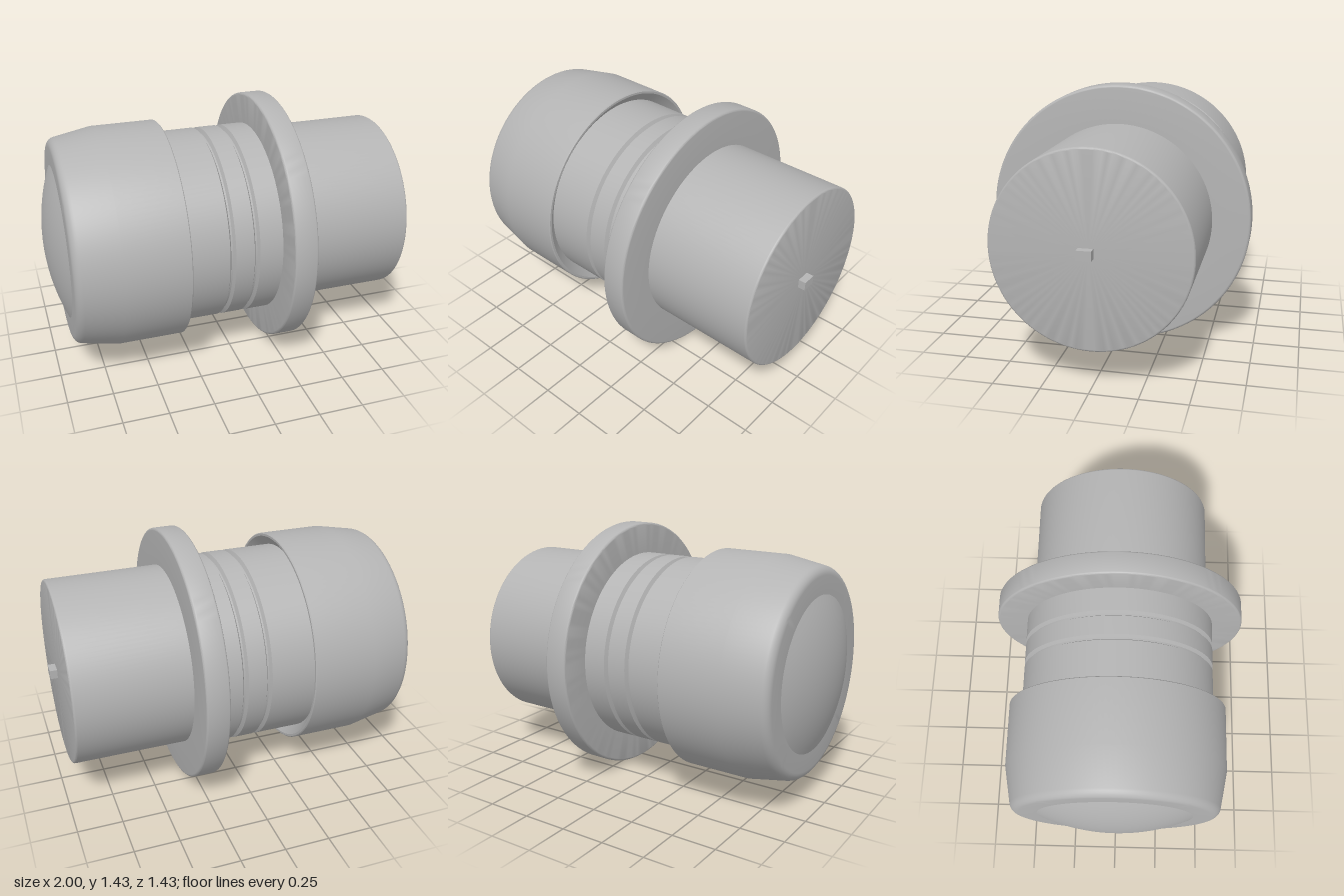
import * as THREE from 'three';
import { toCreasedNormals } from 'three/addons/utils/BufferGeometryUtils.js';

const AXIS_Y = 0.715;

// quarter-round fillet: points [x, r] around a centre, from angle a to b (degrees)
function arc(cx, cr, rad, a, b, steps = 6) {
  return Array.from({ length: steps + 1 }, (_, i) => {
    const t = THREE.MathUtils.degToRad(a + ((b - a) * i) / steps);
    return [cx + rad * Math.cos(t), cr + rad * Math.sin(t)];
  });
}

export function createModel() {
  const model = new THREE.Group();
  model.name = 'indicatorLamp';
  const grey = new THREE.MeshStandardMaterial({ color: 0xb4b4b4 });
  grey.name = 'grey';

  // turned part: profile of [x, radius] running towards +x
  function turned(name, profile) {
    const points = profile.map(([x, r]) => new THREE.Vector2(Math.max(r, 0), x));
    const geometry = toCreasedNormals(new THREE.LatheGeometry(points, 128), 0.4);
    geometry.rotateZ(-Math.PI / 2);
    const mesh = new THREE.Mesh(geometry, grey);
    mesh.name = name;
    mesh.position.y = AXIS_Y;
    model.add(mesh);
  }

  // shallow domed lens
  const lensRadius = 0.425, lensRise = 0.085;
  const R = (lensRadius ** 2 + lensRise ** 2) / (2 * lensRise);
  const half = THREE.MathUtils.radToDeg(Math.asin(lensRadius / R));
  turned('lens', arc(-1 + R, 0, R, 180, 180 - half, 12));

  // cap with rounded nose, slight taper and hollowed rear rim
  turned('cap', [
    [-0.915, lensRadius],
    ...arc(-0.865, 0.525, 0.05, 180, 100),
    [-0.67, 0.612],
    [-0.322, 0.612],
    [-0.317, 0.607],
    [-0.317, 0.595],
    [-0.36, 0.543],
  ]);

  // barrel with two V-shaped grooves
  const grooves = [-0.08, 0.055].flatMap((x) => [
    [x - 0.016, 0.543], [x - 0.005, 0.522], [x + 0.005, 0.522], [x + 0.016, 0.543],
  ]);
  turned('barrel', [[-0.38, 0.543], ...grooves, [0.21, 0.543]]);

  // mounting flange with rounded edges
  turned('flange', [
    [0.2, 0.5],
    ...arc(0.214, 0.701, 0.014, 180, 90),
    ...arc(0.316, 0.701, 0.014, 90, 0),
    [0.33, 0.48],
  ]);

  // rear housing
  turned('rearHousing', [[0.32, 0.51], ...arc(0.948, 0.498, 0.012, 90, 0), [0.96, 0]]);

  // small off-centre contact pin
  const pin = new THREE.Mesh(new THREE.BoxGeometry(0.05, 0.05, 0.076), grey);
  pin.name = 'contactPin';
  pin.position.set(0.975, 0.713, 0.014);
  model.add(pin);

  return model;
}
